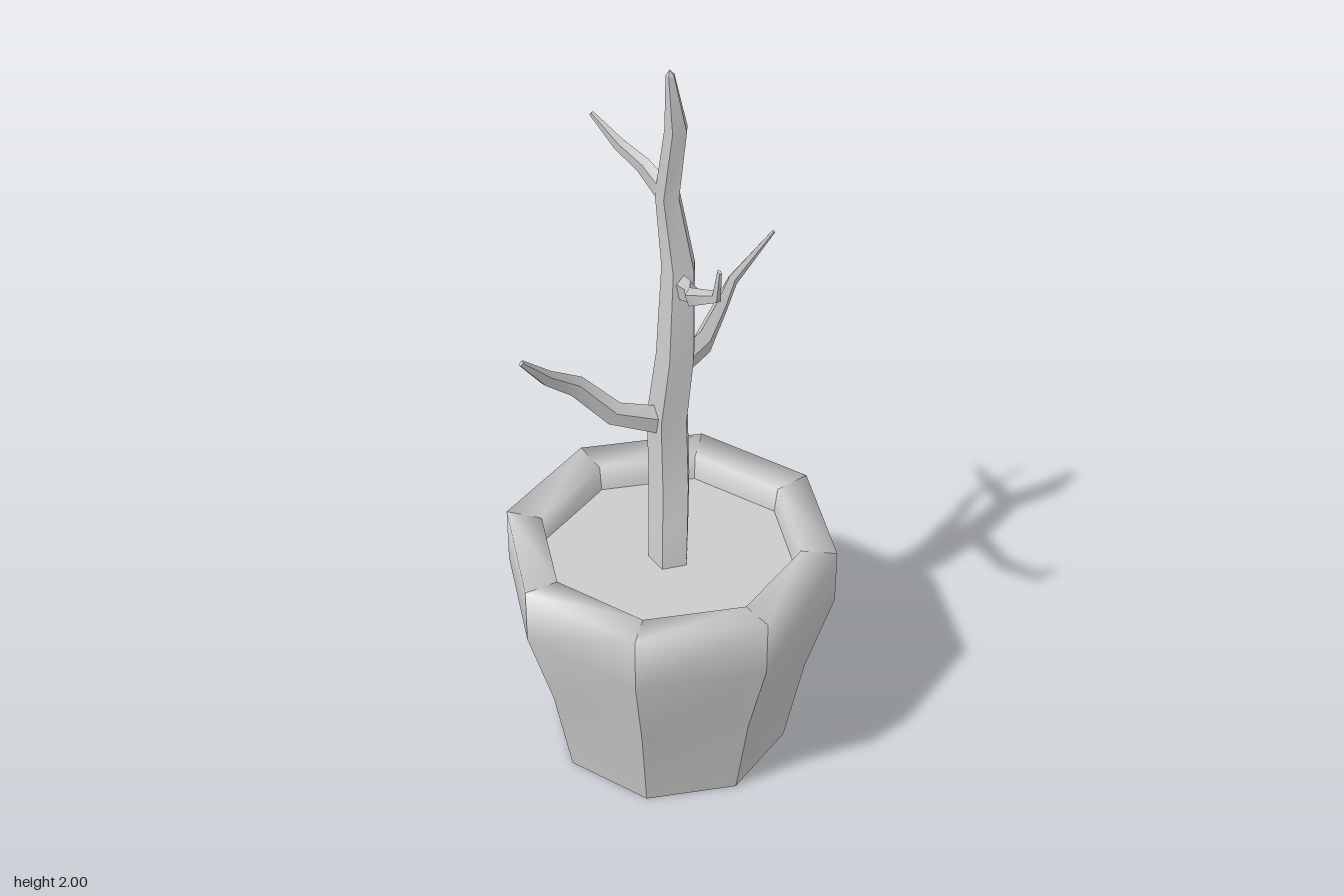
import * as THREE from 'three';
import { mergeGeometries } from 'three/addons/utils/BufferGeometryUtils.js';

const V = (x, y, z) => new THREE.Vector3(x, y, z);
const material = new THREE.MeshStandardMaterial({ color: 0xcccccc, side: THREE.DoubleSide });

// Lofts rings of points; each side is its own strip, so it is
// smooth along its length and sharp against its neighbours.
function loft(rings) {
  const sides = rings[0].length, strips = [];
  for (let k = 0; k < sides; k++) {
    const points = [], index = [];
    rings.forEach((ring, i) => {
      points.push(ring[k], ring[(k + 1) % sides]);
      if (i) {
        const a = 2 * i - 2;
        index.push(a, a + 2, a + 1, a + 1, a + 2, a + 3);
      }
    });
    const g = new THREE.BufferGeometry().setFromPoints(points);
    g.setIndex(index);
    g.computeVertexNormals();
    strips.push(g);
  }
  return mergeGeometries(strips);
}

// Polygon ring around centre c, spanned by axes u and v
function ring(c, u, v, sides) {
  return Array.from({ length: sides }, (_, k) => {
    const a = (k / sides) * Math.PI * 2;
    return c.clone().addScaledVector(u, Math.cos(a)).addScaledVector(v, Math.sin(a));
  });
}

// Closes the last ring with a small flat end
function capped(rings, tip) {
  const last = rings[rings.length - 1];
  return mergeGeometries([loft(rings), loft([last, last.map(() => tip)])]);
}

const levelRing = (x, y, z, r, sides) => ring(V(x, y, z), V(r, 0, 0), V(0, 0, r), sides);

// Tapering branch, taller than wide; nodes are [x, y, z, half height]
function branch(nodes) {
  const pts = nodes.map(([x, y, z]) => V(x, y, z));
  const rings = pts.map((p, i) => {
    const t = pts[Math.min(i + 1, pts.length - 1)].clone().sub(pts[Math.max(i - 1, 0)]).normalize();
    const side = V(0, 1, 0).cross(t).normalize();
    const up = t.clone().cross(side);
    const h = nodes[i][3];
    return ring(p, up.multiplyScalar(h), side.multiplyScalar(h * 0.6), 5);
  });
  return capped(rings, pts[pts.length - 1]);
}

export function createModel() {
  const model = new THREE.Group();
  const add = (name, geometry) => {
    const mesh = new THREE.Mesh(geometry, material);
    mesh.name = name;
    model.add(mesh);
    return mesh;
  };

  // Eight-sided pot: outer wall, lip and inner wall
  const profile = [[0.315, 0], [0.365, 0.26], [0.436, 0.5], [0.436, 0.655], [0.342, 0.648], [0.332, 0.57]];
  add('pot', loft(profile.map(([r, y]) => levelRing(0, y, 0, r, 8))));
  add('potBase', new THREE.CircleGeometry(0.315, 8).rotateX(Math.PI / 2));
  add('soil', new THREE.CircleGeometry(0.335, 8).rotateX(-Math.PI / 2)).position.y = 0.578;

  // Crooked five-sided trunk: x, y, z, radius
  const trunk = [
    [-0.005, 0.56, 0.005, 0.055], [0.002, 0.66, -0.003, 0.056], [0.022, 0.8, -0.03, 0.057],
    [0.024, 1.0, -0.041, 0.056], [0.029, 1.2, -0.013, 0.052], [0.038, 1.45, -0.016, 0.044],
    [0.019, 1.645, -0.036, 0.032], [0.017, 1.84, 0.003, 0.029], [-0.002, 1.985, 0.004, 0.011],
  ];
  add('trunk', capped(trunk.map(([x, y, z, r]) => levelRing(x, y, z, r, 5)), V(-0.004, 2, 0.004)));

  // Branches from lowest to highest
  add('rightBranch', branch([
    [0.01, 0.99, -0.035, 0.042], [-0.12, 1.04, -0.075, 0.034], [-0.21, 1.14, -0.106, 0.029],
    [-0.3, 1.21, -0.085, 0.021], [-0.383, 1.3, -0.063, 0.008],
  ]));
  add('leftBranch', branch([
    [0.03, 1.13, -0.04, 0.04], [0.155, 1.147, -0.082, 0.04], [0.235, 1.197, -0.125, 0.03],
    [0.3, 1.235, -0.165, 0.02], [0.435, 1.328, -0.177, 0.006],
  ]));
  add('frontBranch', branch([
    [0.035, 1.4, 0, 0.036], [0.0, 1.445, 0.09, 0.028], [-0.048, 1.487, 0.16, 0.024],
    [-0.056, 1.555, 0.275, 0.016], [-0.058, 1.63, 0.288, 0.008],
  ]));
  add('backBranch', branch([
    [0.015, 1.65, -0.04, 0.032], [-0.01, 1.705, -0.1, 0.024], [-0.045, 1.748, -0.15, 0.018],
    [-0.086, 1.818, -0.204, 0.007],
  ]));

  return model;
}
